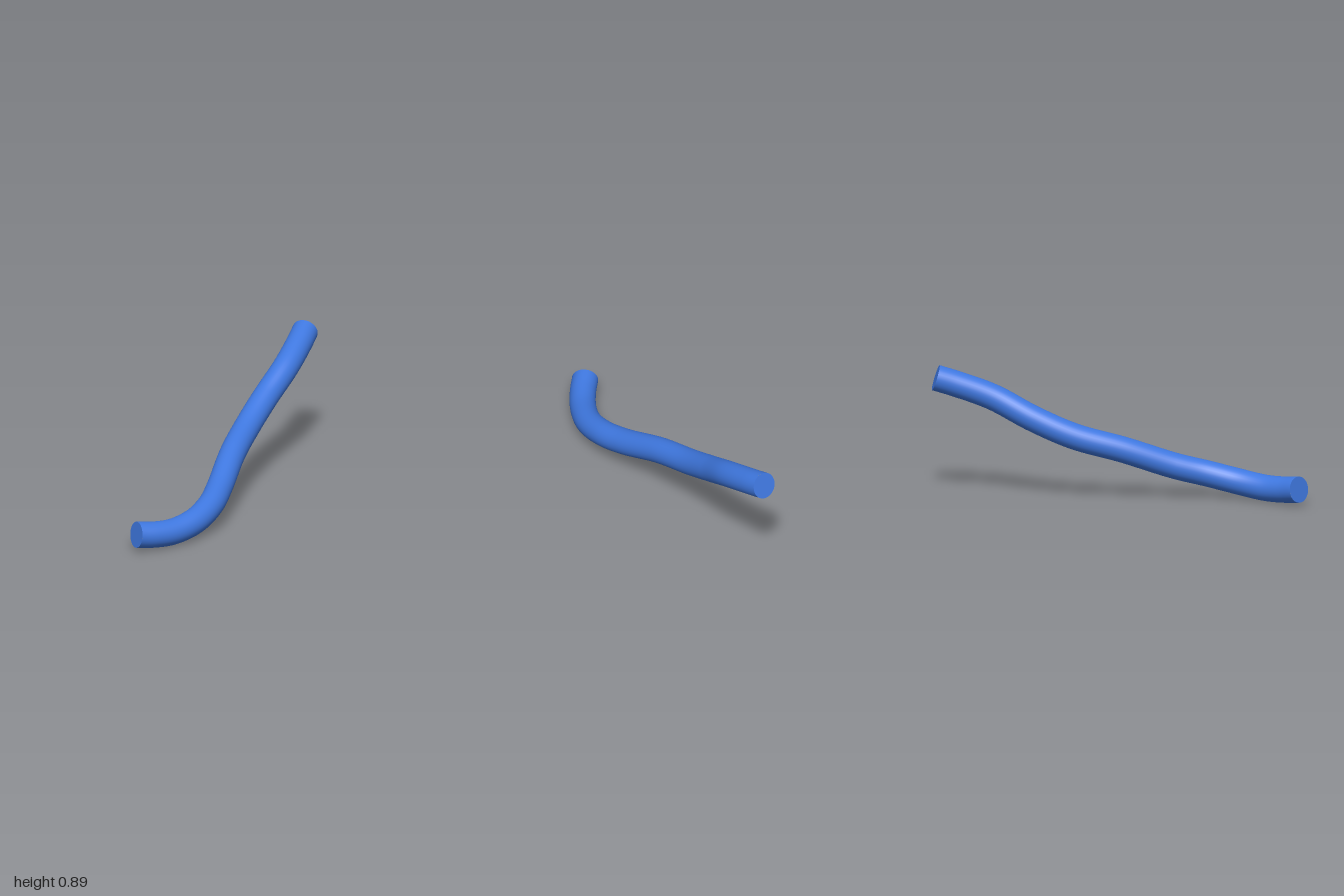
import * as THREE from 'three';

const RADIUS = 0.088;
const SIDES = 32;

export function createModel() {
  const group = new THREE.Group();
  group.name = 'bentRod';
  const material = new THREE.MeshStandardMaterial({ color: 0x3f78e0 });

  // Centre line of the rod, from the low front end to the high back end
  const path = new THREE.CatmullRomCurve3([
    [-0.825, 0.117, 0.908], [-0.7, 0.098, 0.878], [-0.55, 0.09, 0.82],
    [-0.38, 0.115, 0.715], [-0.235, 0.163, 0.555], [-0.13, 0.217, 0.37],
    [0.03, 0.335, 0.06], [0.2, 0.428, -0.22], [0.37, 0.543, -0.435],
    [0.56, 0.68, -0.635], [0.7, 0.77, -0.84], [0.767, 0.812, -0.955],
  ].map((p) => new THREE.Vector3(...p)));

  const rod = new THREE.Mesh(new THREE.TubeGeometry(path, 96, RADIUS, SIDES), material);
  rod.name = 'rod';
  group.add(rod);

  // Flat discs closing both ends, facing outwards
  for (const [name, t, sign] of [['frontCap', 0, -1], ['backCap', 1, 1]]) {
    const cap = new THREE.Mesh(new THREE.CircleGeometry(RADIUS, SIDES), material);
    const outward = path.getTangentAt(t).multiplyScalar(sign);
    cap.name = name;
    cap.position.copy(path.getPointAt(t));
    cap.quaternion.setFromUnitVectors(new THREE.Vector3(0, 0, 1), outward);
    group.add(cap);
  }
  return group;
}
